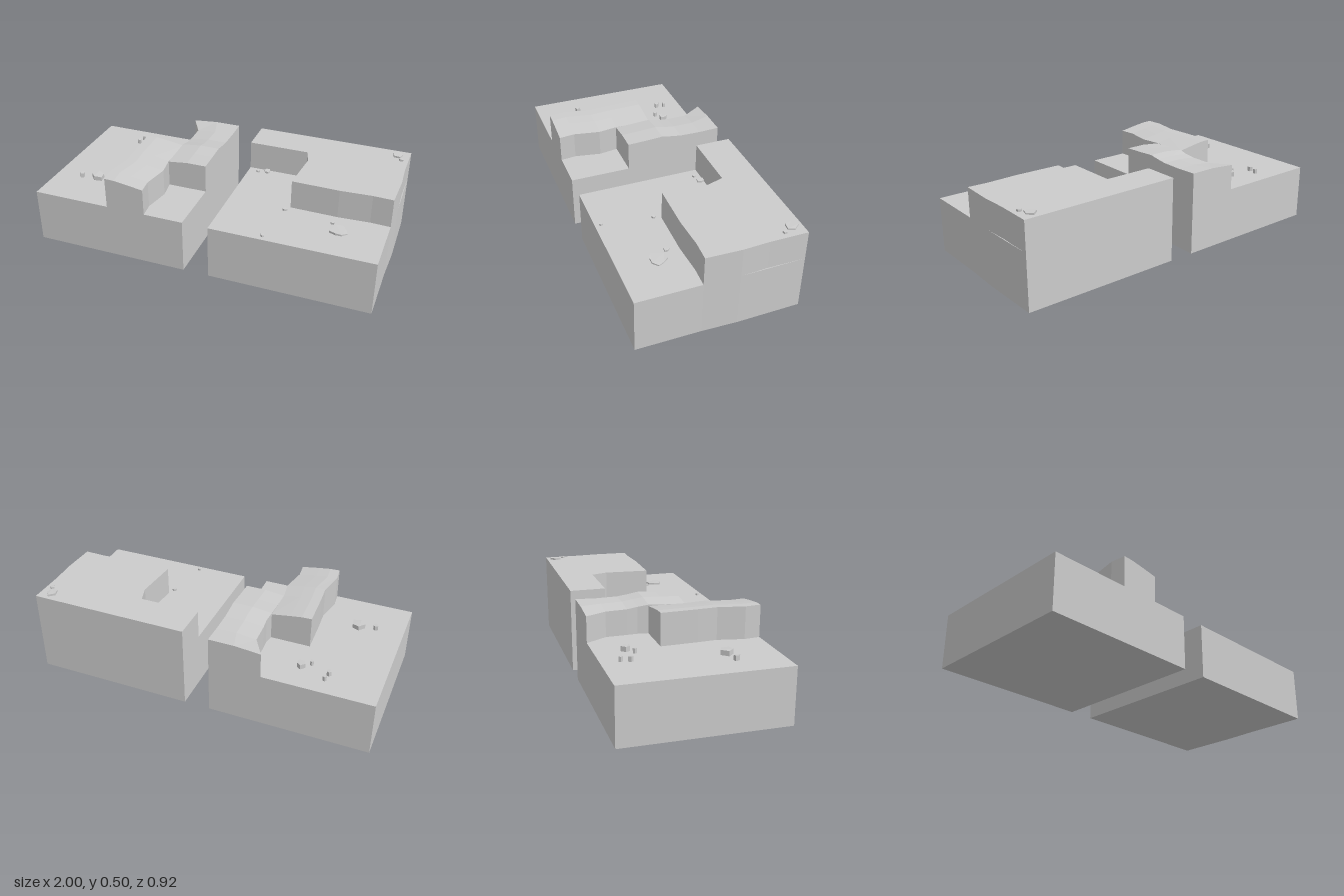
import * as THREE from 'three';

const material = new THREE.MeshStandardMaterial({ color: 0xcccccc, flatShading: true });
const FLOOR = 0.32;

function addMesh(group, geometry, name) {
  const mesh = new THREE.Mesh(geometry, material);
  mesh.name = name;
  group.add(mesh);
  return mesh;
}

// Upright prism from a plan outline of [x, z] points
function prism(outline, y0, y1) {
  const shape = new THREE.Shape(outline.map(([x, z]) => new THREE.Vector2(x, -z)));
  const geometry = new THREE.ExtrudeGeometry(shape, { depth: y1 - y0, bevelEnabled: false });
  return geometry.rotateX(-Math.PI / 2).translate(0, y0, 0);
}

// Raised ground lofted along z: each section is [z, left x, right x, lift],
// and the profile gives [fraction across, height] points
function ridge(sections, profile) {
  const rows = sections.map(([z, left, right, lift]) => {
    const top = profile.map(([t, h]) => [left + (right - left) * t, h + lift, z]);
    return [[left, FLOOR, z], ...top, [right, FLOOR, z]];
  });
  const n = rows[0].length, last = rows.length - 1, index = [];
  for (let i = 0; i < last; i++) {
    for (let j = 0; j < n - 1; j++) {
      const a = i * n + j, d = a + n;
      index.push(a, a + 1, d + 1, a, d + 1, d);
    }
  }
  // End walls
  for (let k = 1; k < n - 1; k++) {
    index.push(0, k + 1, k, last * n, last * n + k, last * n + k + 1);
  }
  const geometry = new THREE.BufferGeometry();
  geometry.setAttribute('position', new THREE.Float32BufferAttribute(rows.flat(2), 3));
  geometry.setIndex(index);
  const flat = geometry.toNonIndexed();
  flat.computeVertexNormals();
  return flat;
}

// Small flat-topped stone with an uneven outline
function addStone(group, [x, z, radius, sides], y, height, seed) {
  const outline = [];
  for (let i = 0; i < sides; i++) {
    const angle = (-i / sides) * Math.PI * 2 + seed;
    const r = radius * (1 + 0.14 * Math.sin(seed * 3 + i * 2.3));
    outline.push([x + r * Math.cos(angle), z + r * Math.sin(angle)]);
  }
  const geometry = prism(outline, y, y + height);
  // Tilt the top slightly
  const p = geometry.attributes.position;
  for (let i = 0; i < p.count; i++) {
    if (p.getY(i) > y + height / 2) p.setY(i, y + height - Math.max(0, p.getX(i) - x) * 0.12);
  }
  geometry.computeVertexNormals();
  addMesh(group, geometry, 'stone');
}

function createRidgeTile() {
  const tile = new THREE.Group();
  tile.name = 'ridgeTile';
  const base = addMesh(tile, new THREE.BoxGeometry(0.92, FLOOR, 0.92), 'ridgeTileBase');
  base.position.set(-0.54, FLOOR / 2, 0);

  // Winding front arm, sloping down to the right
  addMesh(tile, ridge(
    [[0.46, -0.54, -0.31, 0], [0.37, -0.55, -0.32, 0], [0.22, -0.522, -0.293, 0],
      [0.11, -0.53, -0.31, 0], [-0.1, -0.54, -0.31, 0], [-0.118, -0.543, -0.43, 0]].slice(0, 5),
    [[0, 0.503], [0.25, 0.501], [0.55, 0.492], [1, 0.476]]), 'frontRidge');

  // Rear arm along the inner edge
  addMesh(tile, ridge(
    [[0.11, -0.31, -0.08, -0.01], [0, -0.31, -0.08, -0.006], [-0.1, -0.31, -0.08, 0],
      [-0.16, -0.302, -0.08, -0.01], [-0.22, -0.306, -0.08, -0.018],
      [-0.34, -0.31, -0.08, -0.02], [-0.46, -0.38, -0.08, -0.016]],
    [[0, 0.484], [0.5, 0.497], [1, 0.497]]), 'rearRidge');

  const stones = [[-0.84, 0.205, 0.016, 6], [-0.74, 0.19, 0.038, 5], [-0.7, -0.355, 0.012, 5],
    [-0.71, -0.305, 0.014, 5], [-0.6, -0.255, 0.011, 5], [-0.55, -0.29, 0.026, 5]];
  stones.forEach((s, i) => addStone(tile, s, FLOOR, 0.028, 0.6 + i * 1.3));
  return tile;
}

function createPlateauTile() {
  const tile = new THREE.Group();
  tile.name = 'plateauTile';
  addMesh(tile, prism([[0.07, 0.46], [0.993, 0.46], [0.993, 0.1], [1, -0.1],
    [0.995, -0.46], [0.07, -0.46]], 0, FLOOR), 'plateauTileBase');

  // Raised corner plateau
  addMesh(tile, prism([[0.07, -0.255], [0.42, -0.255], [0.45, -0.16], [0.43, 0.1], [0.7, 0.105],
    [0.88, 0.095], [0.993, 0.1], [1, -0.1], [0.993, -0.25], [0.995, -0.46], [0.07, -0.46]],
  FLOOR, 0.49), 'plateau');

  const stones = [[0.13, -0.22, 0.012, 6], [0.185, -0.235, 0.02, 6], [0.41, 0.14, 0.012, 6],
    [0.37, 0.425, 0.012, 6], [0.69, 0.175, 0.015, 5], [0.74, 0.24, 0.047, 8]];
  stones.forEach((s, i) => addStone(tile, s, FLOOR, 0.012, 0.4 + i * 1.7));
  const topStones = [[0.925, -0.4, 0.034, 5], [0.955, -0.35, 0.014, 5]];
  topStones.forEach((s, i) => addStone(tile, s, 0.49, 0.012, 1 + i));
  return tile;
}

export function createModel() {
  const model = new THREE.Group();
  model.name = 'terrainTiles';
  model.add(createRidgeTile(), createPlateauTile());
  return model;
}
